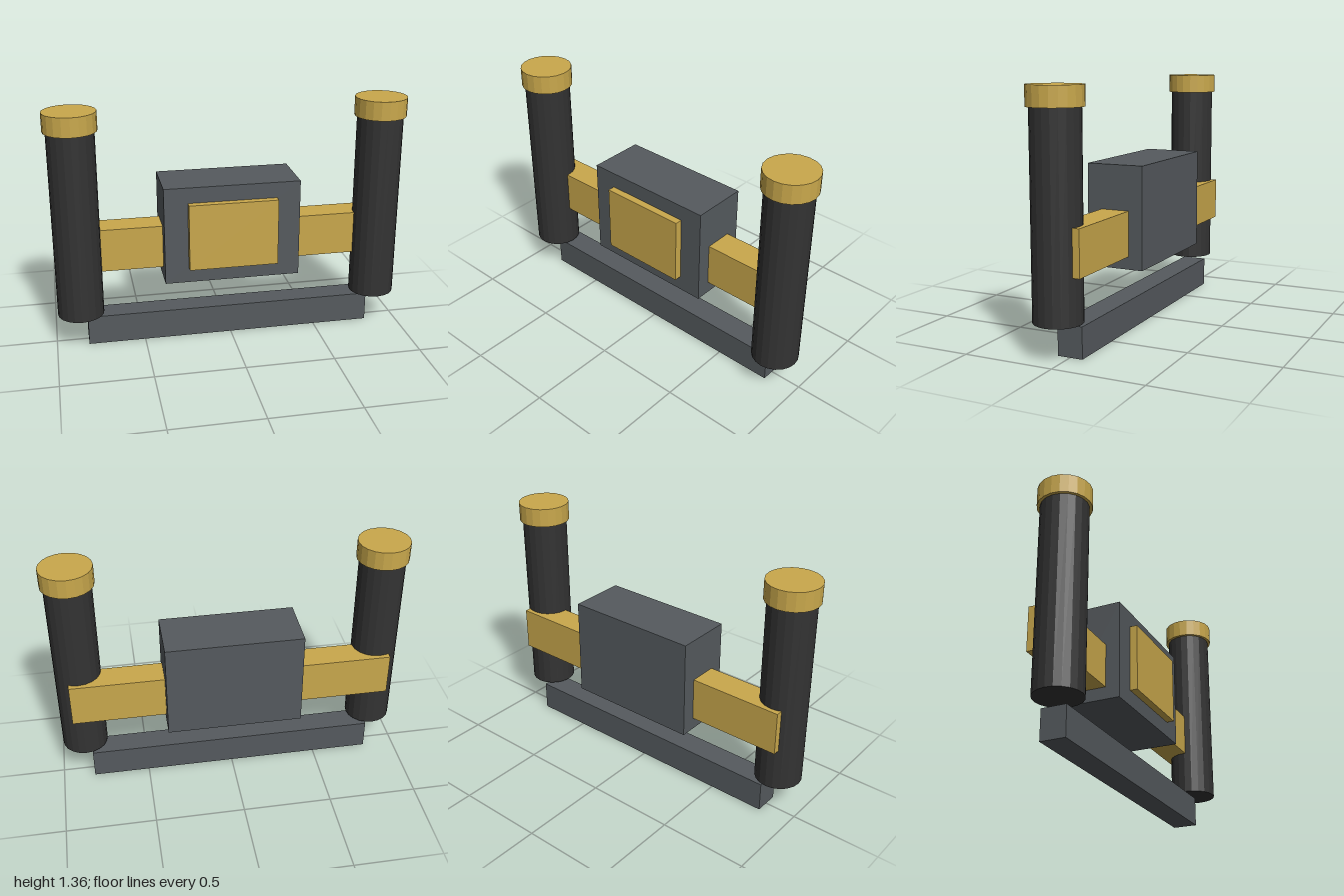
import * as THREE from 'three';

const mat = (name, color, flatShading = false) => {
  const m = new THREE.MeshStandardMaterial({ color, flatShading });
  m.name = name;
  return m;
};

export function createModel() {
  const model = new THREE.Group();
  const gold = mat('gold', 0xc9a84c, true);
  const slate = mat('slate grey', 0x555a5e, true);
  const black = mat('black', 0x333333, true);

  const add = (name, geometry, material, x, y, z) => {
    const mesh = new THREE.Mesh(geometry, material);
    mesh.name = name;
    mesh.position.set(x, y, z);
    model.add(mesh);
  };

  // box given by its minimum and maximum corners
  const box = (name, material, [x0, y0, z0], [x1, y1, z1]) =>
    add(name, new THREE.BoxGeometry(x1 - x0, y1 - y0, z1 - z0), material,
      (x0 + x1) / 2, (y0 + y1) / 2, (z0 + z1) / 2);

  // upright faceted cylinder between two heights
  const post = (name, material, r, x, y0, y1, z) =>
    add(name, new THREE.CylinderGeometry(r, r, y1 - y0, 20), material, x, (y0 + y1) / 2, z);

  // central housing, face plate and lower bar
  box('housing', slate, [-0.382, 0.365, -0.19], [0.382, 0.922, 0.13]);
  box('facePlate', gold, [-0.25, 0.453, 0.13], [0.25, 0.833, 0.172]);
  box('lowerBar', slate, [-0.82, 0, -0.07], [0.82, 0.168, 0.07]);

  // mirrored arms, tubes and caps
  for (const [side, s] of [['left', 1], ['right', -1]]) {
    const xs = [0.36 * s, 0.91 * s].sort((a, b) => a - b);
    box(side + 'Arm', gold, [xs[0], 0.435, -0.11], [xs[1], 0.68, 0.05]);
    post(side + 'Tube', black, 0.129, 0.855 * s, 0.19, 1.25, 0.043);
    post(side + 'Cap', gold, 0.145, 0.855 * s, 1.25, 1.356, 0.043);
  }
  return model;
}
